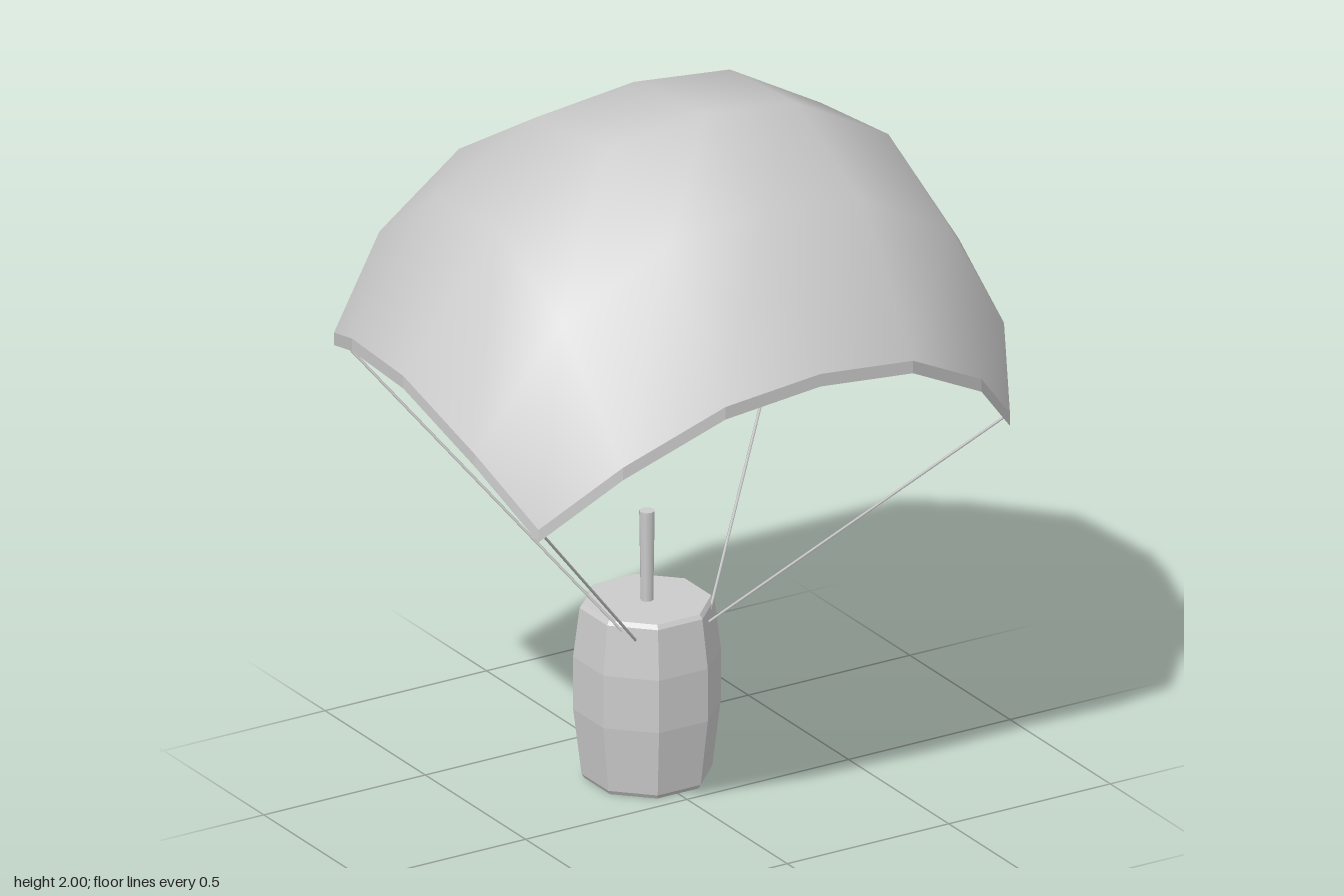
import * as THREE from 'three';

const smooth = new THREE.MeshStandardMaterial({ color: 0xcccccc });
const flat = new THREE.MeshStandardMaterial({ color: 0xcccccc, flatShading: true });

function add(parent, name, geometry, material) {
  const mesh = new THREE.Mesh(geometry, material);
  mesh.name = name;
  parent.add(mesh);
  return mesh;
}

// Half of the canopy: rows from front to back, columns from the centre line to the side
const HALF = [
  [[0, 1.465, 0.665], [0.29, 1.435, 0.66], [0.555, 1.29, 0.575], [0.73, 1.1, 0.435]],
  [[0, 1.84, 0.4], [0.3, 1.795, 0.385], [0.6, 1.63, 0.34], [0.82, 1.275, 0.26]],
  [[0, 2.0, 0.09], [0.29, 1.96, 0.075], [0.605, 1.78, 0.03], [0.86, 1.4, -0.03]],
  [[0, 1.96, -0.265], [0.3, 1.925, -0.27], [0.6, 1.75, -0.3], [0.82, 1.38, -0.35]],
  [[0, 1.71, -0.66], [0.29, 1.685, -0.67], [0.555, 1.52, -0.64], [0.73, 1.29, -0.585]],
];
const COLS = 7, ROWS = 5, THICK = 0.036;

function buildCanopy() {
  const canopy = new THREE.Group();
  canopy.name = 'canopy';
  const rows = HALF.map(r => [
    ...r.slice(1).reverse().map(([x, y, z]) => [-x, y, z]), ...r,
  ]);
  const lower = ([x, y, z]) => [x, y - THICK, z];

  // Smooth outer and inner skins
  const skin = (move, flip) => {
    const index = [];
    for (let j = 0; j < ROWS - 1; j++) {
      for (let i = 0; i < COLS - 1; i++) {
        const a = j * COLS + i, b = a + 1, c = b + COLS, d = a + COLS;
        index.push(...(flip ? [a, c, b, a, d, c] : [a, b, c, a, c, d]));
      }
    }
    const g = new THREE.BufferGeometry();
    g.setAttribute('position', new THREE.Float32BufferAttribute(rows.flat().map(move).flat(), 3));
    g.setIndex(index);
    g.computeVertexNormals();
    return g;
  };
  add(canopy, 'canopyOuter', skin(p => p, false), smooth);
  add(canopy, 'canopyInner', skin(lower, true), smooth);

  // Flat rim joining the two skins all the way round
  const loop = [
    ...rows[0].slice(0, -1),
    ...rows.slice(0, -1).map(r => r[COLS - 1]),
    ...rows[ROWS - 1].slice(1).reverse(),
    ...rows.slice(1).reverse().map(r => r[0]),
  ];
  const rim = loop.flatMap((p, k) => {
    const q = loop[(k + 1) % loop.length];
    return [lower(p), lower(q), q, lower(p), q, p].flat();
  });
  const g = new THREE.BufferGeometry();
  g.setAttribute('position', new THREE.Float32BufferAttribute(rim, 3));
  g.computeVertexNormals();
  add(canopy, 'canopyRim', g, flat);
  return canopy;
}

// Thin straight rope between two points
function rope(parent, name, from, to) {
  const a = new THREE.Vector3(...from), b = new THREE.Vector3(...to);
  const dir = b.clone().sub(a);
  const mesh = add(parent, name, new THREE.CylinderGeometry(0.004, 0.004, dir.length(), 5), smooth);
  mesh.position.copy(a).add(b).multiplyScalar(0.5);
  mesh.quaternion.setFromUnitVectors(new THREE.Vector3(0, 1, 0), dir.normalize());
}

export function createModel() {
  const model = new THREE.Group();
  model.name = 'parachuteBarrel';
  model.add(buildCanopy());

  // Eight-sided barrel, with radii given to the flat faces
  const profile = [
    [0, 0], [0.154, 0], [0.161, 0.012], [0.182, 0.2], [0.182, 0.35],
    [0.166, 0.488], [0.158, 0.5], [0, 0.5],
  ].map(([r, y]) => new THREE.Vector2(r / Math.cos(Math.PI / 8), y));
  add(model, 'barrel', new THREE.LatheGeometry(profile, 8, Math.PI / 8), flat).position.z = -0.2;

  // Fuse, slightly wider at the top
  add(model, 'fuse', new THREE.CylinderGeometry(0.021, 0.017, 0.265, 8), smooth)
    .position.set(0, 0.6225, -0.2);

  // Ropes from the canopy corners to the barrel
  for (const [side, s] of [['left', 1], ['right', -1]]) {
    rope(model, side + 'FrontRope', [s * 0.72, 1.09, 0.425], [s * 0.113, 0.455, -0.075]);
    rope(model, side + 'BackRope', [s * 0.72, 1.275, -0.57], [s * 0.125, 0.46, -0.095]);
  }
  return model;
}
